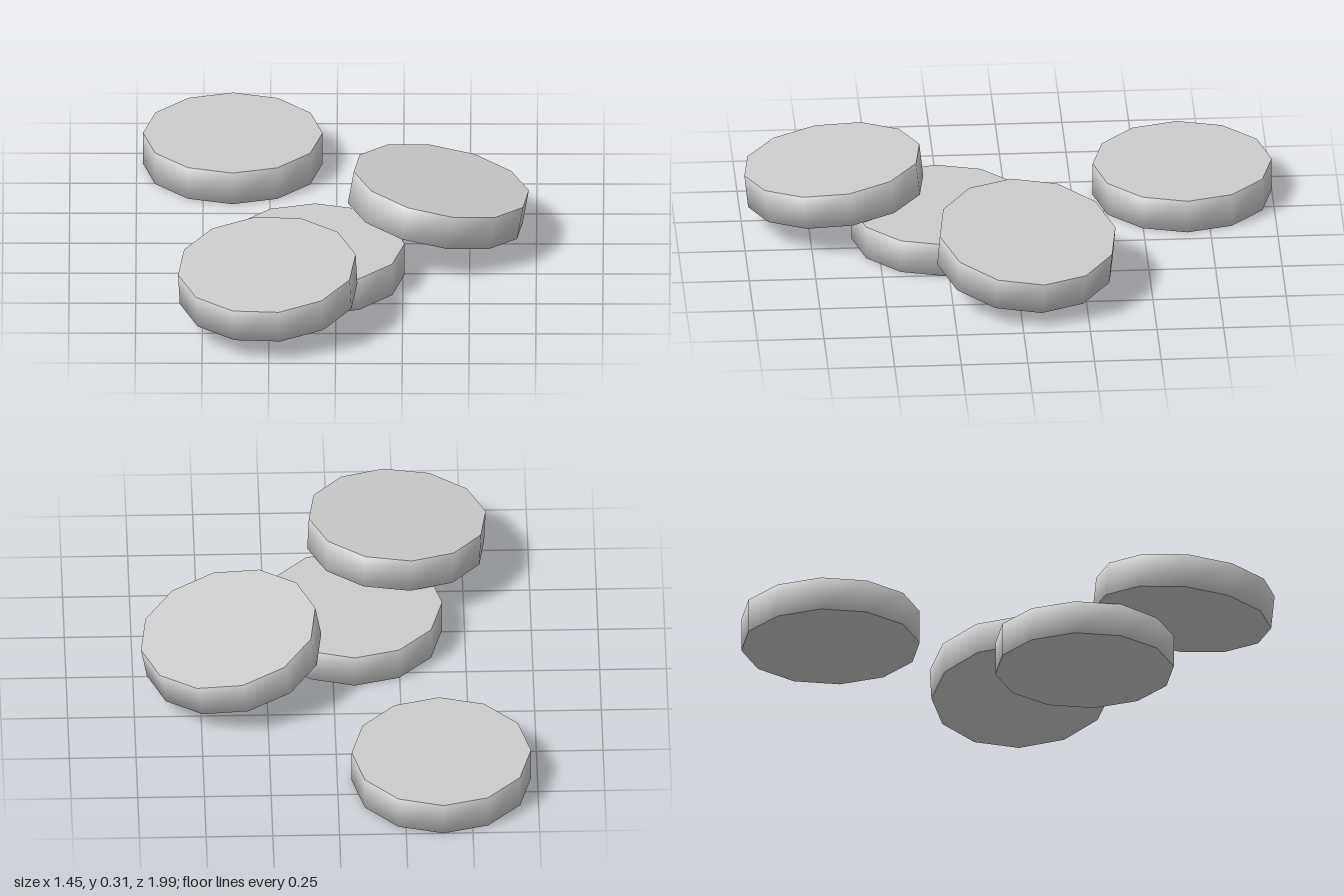
import * as THREE from 'three';

const RADIUS = 0.336, HEIGHT = 0.13, SIDES = 12;

// Twelve-sided disc: flat caps, smooth rim whose normals lean outward at both edges
function discGeometry() {
  const geometry = new THREE.CylinderGeometry(RADIUS, RADIUS, HEIGHT, SIDES);
  const { position, normal } = geometry.attributes;
  const n = new THREE.Vector3();
  for (let i = 0; i < (SIDES + 1) * 2; i++) {
    n.fromBufferAttribute(normal, i);
    n.y = 0.6 * Math.sign(position.getY(i));
    n.normalize();
    normal.setXYZ(i, n.x, n.y, n.z);
  }
  return geometry;
}

// Each disc: centre, slope of its top along x and z, and spin about its own axis
const DISCS = [
  { name: 'backDisc', centre: [-0.39, 0.065, -0.664], slope: [0, 0], spin: 0 },
  { name: 'middleDisc', centre: [-0.08, 0.065, 0.26], slope: [0, 0], spin: 0 },
  { name: 'frontLeaningDisc', centre: [-0.255, 0.178, 0.652], slope: [0.05, -0.107], spin: 0.133 },
  { name: 'sideLeaningDisc', centre: [0.382, 0.181, -0.032], slope: [-0.175, 0.067], spin: 0.133 },
];

export function createModel() {
  const model = new THREE.Group();
  model.name = 'scatteredDiscs';
  const geometry = discGeometry();
  const material = new THREE.MeshStandardMaterial({ color: 0xcccccc });
  const up = new THREE.Vector3(0, 1, 0);

  for (const { name, centre, slope, spin } of DISCS) {
    const disc = new THREE.Mesh(geometry, material);
    disc.name = name;
    disc.position.set(...centre);
    // Tilt the axis onto the slope's normal, after spinning about it
    const axis = new THREE.Vector3(-slope[0], 1, -slope[1]).normalize();
    disc.quaternion.setFromUnitVectors(up, axis);
    disc.rotateY(spin);
    model.add(disc);
  }
  return model;
}
